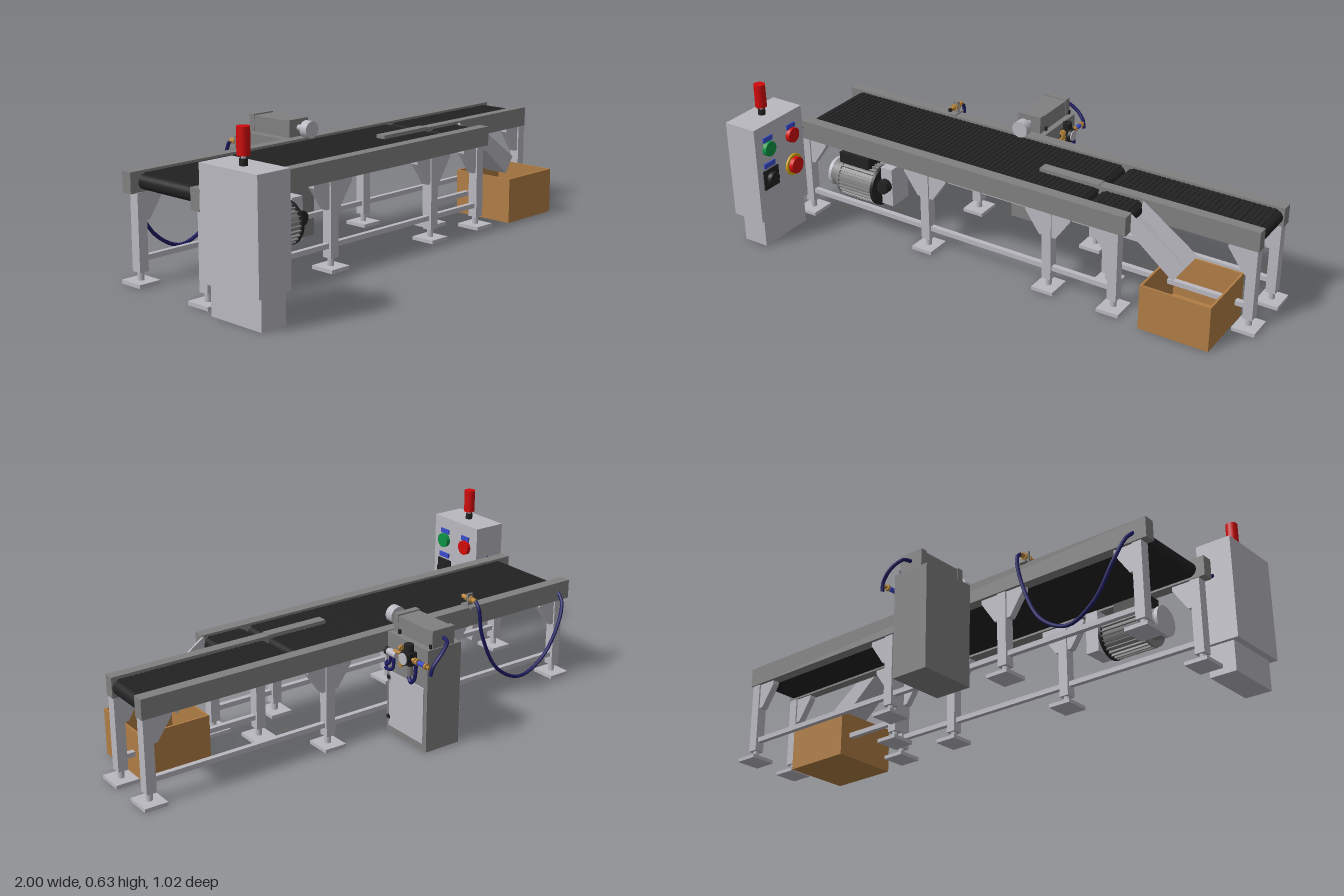
import * as THREE from 'three';

export function createModel() {
  const root = new THREE.Group();
  root.name = 'sortingConveyor';
  const paint = (name, color) => {
    const m = new THREE.MeshStandardMaterial({ color });
    m.name = name;
    return m;
  };
  const light = paint('lightGrey', 0xb9b8c0), grey = paint('steelGrey', 0x808080);
  const black = paint('black', 0x222222), card = paint('cardboard', 0xb07d45);
  const red = paint('red', 0xd20a0a), green = paint('green', 0x0c9444);
  const blue = paint('blue', 0x3a4cc8), navy = paint('navyHose', 0x1d1b62);
  const yellow = paint('yellow', 0xd8a80c), brass = paint('brass', 0xb8863a);

  const add = (name, geo, mat, parent = root) => {
    const m = new THREE.Mesh(geo, mat);
    m.name = name;
    parent.add(m);
    return m;
  };
  // Box given by its extents on each axis
  const box = (name, mat, x0, x1, y0, y1, z0, z1, parent) => {
    const m = add(name, new THREE.BoxGeometry(x1 - x0, y1 - y0, z1 - z0), mat, parent);
    m.position.set((x0 + x1) / 2, (y0 + y1) / 2, (z0 + z1) / 2);
    return m;
  };
  // Cylinder centred at a point, lying along the given axis
  const cyl = (name, mat, axis, r, len, x, y, z, parent, sides = 24) => {
    const g = new THREE.CylinderGeometry(r, r, len, sides);
    if (axis === 'x') g.rotateZ(-Math.PI / 2);
    if (axis === 'z') g.rotateX(Math.PI / 2);
    const m = add(name, g, mat, parent);
    m.position.set(x, y, z);
    return m;
  };
  // Flat outline in x and y, extruded between two depths
  const plate = (name, mat, pts, z0, z1, parent) => {
    const s = new THREE.Shape(pts.map(p => new THREE.Vector2(...p)));
    const m = add(name, new THREE.ExtrudeGeometry(s, { depth: z1 - z0, bevelEnabled: false }), mat, parent);
    m.position.z = z0;
    return m;
  };
  const hose = (name, pts, r = 0.007) => {
    const c = new THREE.CatmullRomCurve3(pts.map(p => new THREE.Vector3(...p)));
    return add(name, new THREE.TubeGeometry(c, 40, r, 8), navy);
  };
  const group = name => {
    const g = new THREE.Group();
    g.name = name;
    root.add(g);
    return g;
  };

  // Side rails and lane divider
  box('backRail', grey, -0.95, 0.98, 0.327, 0.403, -0.226, -0.182);
  box('frontRail', grey, -0.95, 0.537, 0.327, 0.403, 0.13, 0.175);
  box('middleRail', grey, 0.345, 0.978, 0.327, 0.405, -0.017, 0.023);
  box('laneDivider', grey, 0.094, 0.345, 0.392, 0.408, -0.017, 0.023);

  // Belts with rounded ends and fine slats
  const belt = (name, x0, x1, z0, z1) => {
    const g = group(name), r = 0.028, y = 0.363, s = new THREE.Shape();
    s.absarc(x1 - r, y, r, -Math.PI / 2, Math.PI / 2);
    s.absarc(x0 + r, y, r, Math.PI / 2, Math.PI * 1.5);
    const m = add('beltLoop', new THREE.ExtrudeGeometry(s, { depth: z1 - z0, bevelEnabled: false }), black, g);
    m.position.z = z0;
    for (let x = x0 + r; x < x1 - r; x += 0.02)
      box('slat', black, x, x + 0.015, 0.39, 0.394, z0, z1, g);
  };
  belt('mainBelt', -0.917, 0.343, -0.183, 0.131);
  belt('frontLaneBelt', 0.349, 0.53, 0.022, 0.131);
  belt('backLaneBelt', 0.349, 0.975, -0.183, -0.016);

  // Legs with adjustable feet and gussets; sides lists the braced directions
  const leg = (x, z, sides) => {
    const g = group('leg');
    box('post', light, x - 0.019, x + 0.019, 0.045, 0.328, z - 0.02, z + 0.02, g);
    cyl('footScrew', light, 'y', 0.012, 0.035, x, 0.03, z, g, 12);
    box('footPlate', light, x - 0.045, x + 0.045, 0, 0.014, z - 0.05, z + 0.05, g);
    for (const d of sides) {
      const a = [x + d * 0.018, 0.327], b = [x + d * 0.018, 0.225], c = [x + d * 0.035, 0.225], e = [x + d * 0.095, 0.312], f = [x + d * 0.095, 0.327];
      plate('gusset', light, [a, b, c, e, f], z - 0.014, z + 0.014, g);
    }
  };
  const rows = [
    [-0.2, [[-0.905, [1]], [-0.33, [-1, 1]], [0.215, [-1, 1]], [0.955, [-1]]]],
    [0.153, [[-0.905, [1]], [-0.33, [-1, 1]], [0.215, [-1, 1]], [0.49, [-1]]]],
    [0.003, [[0.385, [1]], [0.955, [-1]]]],
  ];
  for (const [z, legs] of rows) {
    for (const [x, sides] of legs) leg(x, z, sides);
    box('lowerTieBar', light, legs[0][0], legs[legs.length - 1][0], 0.081, 0.1, z - 0.01, z + 0.01);
  }

  // Chute: two cheeks and a sloping floor
  const chute = group('chute');
  const cheek = [[0.522, 0.335], [0.71, 0.18], [0.752, 0.244], [0.53, 0.4]];
  plate('chuteSide', light, cheek, 0.027, 0.035, chute);
  plate('chuteSide', light, cheek, 0.126, 0.134, chute);
  plate('chuteFloor', light, [[0.522, 0.335], [0.71, 0.18], [0.716, 0.189], [0.524, 0.346]], 0.035, 0.126, chute);

  // Open carton
  const carton = group('carton');
  box('cartonBottom', card, 0.624, 0.9, 0, 0.008, -0.052, 0.218, carton);
  for (const [a, b] of [[0.624, 0.632], [0.892, 0.9]]) box('cartonSide', card, a, b, 0, 0.18, -0.052, 0.218, carton);
  for (const [a, b] of [[-0.052, -0.044], [0.21, 0.218]]) box('cartonEnd', card, 0.632, 0.892, 0, 0.18, a, b, carton);

  // Drive motor with cooling fins, fan cover and gearbox
  const motor = group('driveMotor'), my = 0.213, mz = 0.15;
  cyl('motorBody', grey, 'x', 0.071, 0.165, -0.627, my, mz, motor, 32);
  for (let i = 0; i < 28; i++) {
    const a = i / 28 * Math.PI * 2;
    const f = add('fin', new THREE.BoxGeometry(0.16, 0.014, 0.005), grey, motor);
    f.position.set(-0.627, my + Math.cos(a) * 0.073, mz + Math.sin(a) * 0.073);
    f.rotation.x = a;
  }
  cyl('motorFlange', black, 'x', 0.081, 0.012, -0.542, my, mz, motor, 32);
  cyl('motorEndRing', grey, 'x', 0.079, 0.01, -0.71, my, mz, motor, 32);
  cyl('fanCover', grey, 'x', 0.056, 0.045, -0.735, my, mz, motor, 32);
  cyl('fanCap', light, 'x', 0.058, 0.014, -0.764, my, mz, motor, 32);
  box('terminalBox', black, -0.72, -0.58, 0.28, 0.325, 0.11, 0.19, motor);
  box('gearbox', light, -0.536, -0.484, 0.142, 0.3, 0.07, 0.17, motor);
  cyl('outputShaft', black, 'z', 0.027, 0.03, -0.513, 0.228, 0.185, motor);

  // Control cabinet
  const cab = group('controlCabinet');
  box('cabinetBody', light, -1, -0.862, 0.115, 0.508, 0.235, 0.505, cab);
  box('cabinetPlinth', light, -0.975, -0.87, 0, 0.115, 0.25, 0.487, cab);
  cyl('beaconBase', black, 'y', 0.014, 0.024, -0.936, 0.519, 0.374, cab);
  cyl('beaconNeck', light, 'y', 0.008, 0.014, -0.936, 0.536, 0.374, cab);
  cyl('beacon', red, 'y', 0.022, 0.092, -0.936, 0.587, 0.374, cab);
  cyl('startButton', green, 'x', 0.03, 0.018, -0.854, 0.41, 0.438, cab);
  cyl('stopButton', red, 'x', 0.03, 0.018, -0.854, 0.412, 0.304, cab);
  cyl('emergencyRing', yellow, 'x', 0.044, 0.008, -0.859, 0.283, 0.304, cab, 32);
  cyl('emergencyButton', red, 'x', 0.033, 0.024, -0.85, 0.283, 0.304, cab, 32);
  box('switchPlate', black, -0.863, -0.856, 0.243, 0.323, 0.395, 0.476, cab);
  cyl('switchKnob', black, 'x', 0.026, 0.022, -0.85, 0.283, 0.436, cab);
  for (const [y, z, w] of [[0.449, 0.438, 0.05], [0.449, 0.306, 0.046], [0.342, 0.439, 0.06]])
    box('buttonLabel', blue, -0.863, -0.856, y - 0.01, y + 0.01, z - w / 2, z + w / 2, cab);
  hose('cabinetCable', [[-0.92, 0.375, 0.236], [-0.92, 0.358, 0.21], [-0.92, 0.368, 0.185], [-0.92, 0.375, 0.17]]);

  // Pusher station with door, housing and ram
  const push = group('pusherStation');
  box('pusherCabinet', grey, -0.19, -0.038, 0, 0.4, -0.457, -0.226, push);
  box('pusherDoor', light, -0.04, -0.033, 0.03, 0.25, -0.441, -0.243, push);
  for (const y of [0.065, 0.225]) box('doorHinge', black, -0.038, -0.03, y - 0.007, y + 0.007, -0.25, -0.234, push);
  box('cylinderHousing', grey, -0.158, -0.062, 0.4, 0.464, -0.43, -0.25, push);
  for (const z of [-0.44, -0.244]) {
    box('housingEnd', grey, -0.16, -0.06, 0.398, 0.469, z - 0.013, z + 0.013, push);
    box('housingClamp', black, -0.062, -0.054, 0.4, 0.416, z * 0.9 - 0.055, z * 0.9 - 0.045, push);
  }
  cyl('ramRod', light, 'z', 0.012, 0.06, -0.11, 0.435, -0.21, push);
  cyl('ramHead', light, 'z', 0.033, 0.035, -0.11, 0.435, -0.177, push, 32);

  // Air valve, regulator and fittings on the station's side
  const air = group('airUnit');
  cyl('valveBody', light, 'z', 0.014, 0.055, -0.017, 0.338, -0.28, air);
  cyl('valveCap', black, 'z', 0.015, 0.012, -0.017, 0.338, -0.252, air);
  box('regulatorBody', black, -0.038, -0.005, 0.325, 0.375, -0.395, -0.347, air);
  cyl('regulatorKnob', black, 'y', 0.018, 0.03, -0.02, 0.388, -0.371, air);
  cyl('gaugeRim', black, 'x', 0.026, 0.014, -0.001, 0.352, -0.371, air);
  cyl('gaugeFace', light, 'x', 0.022, 0.004, 0.008, 0.352, -0.371, air);
  cyl('filterBowl', grey, 'y', 0.017, 0.045, -0.02, 0.307, -0.371, air);
  cyl('airLine', brass, 'z', 0.006, 0.2, -0.017, 0.352, -0.39, air, 12);
  cyl('airManifold', brass, 'y', 0.007, 0.08, -0.017, 0.342, -0.331, air, 12);
  for (const [y, z] of [[0.375, -0.331], [0.342, -0.331], [0.352, -0.412], [0.352, -0.424], [0.352, -0.473]])
    cyl('hexFitting', brass, 'z', 0.013, 0.009, -0.017, y, z, air, 6);
  cyl('blueCoupling', blue, 'z', 0.009, 0.032, -0.017, 0.352, -0.448, air, 12);
  hose('returnHose', [[-0.11, 0.435, -0.45], [-0.1, 0.43, -0.485], [-0.06, 0.4, -0.503], [-0.025, 0.36, -0.502], [-0.017, 0.325, -0.498]]);
  hose('filterHose', [[-0.02, 0.285, -0.371], [-0.015, 0.262, -0.39], [-0.015, 0.28, -0.41], [-0.017, 0.35, -0.418]]);
  for (const [y, z] of [[0.28, -0.272], [0.262, -0.29]])
    hose('valveHose', [[-0.017, 0.33, z], [-0.017, y + 0.015, z + 0.008], [-0.022, y, -0.235], [-0.05, y, -0.218], [-0.1, y, -0.22]], 0.006);

  // Product sensor on the back rail with its hanging cable
  const sensor = group('productSensor');
  box('sensorBracket', grey, -0.455, -0.425, 0.4, 0.408, -0.24, -0.18, sensor);
  box('sensorPost', grey, -0.452, -0.428, 0.408, 0.454, -0.215, -0.207, sensor);
  cyl('sensorBarrel', brass, 'z', 0.009, 0.075, -0.44, 0.432, -0.21, sensor, 16);
  for (const z of [-0.222, -0.2]) cyl('sensorNut', brass, 'z', 0.014, 0.008, -0.44, 0.432, z, sensor, 6);
  cyl('sensorTip', black, 'z', 0.008, 0.01, -0.44, 0.432, -0.17, sensor, 16);
  hose('sensorCable', [[-0.44, 0.432, -0.245], [-0.44, 0.41, -0.265], [-0.46, 0.3, -0.265], [-0.54, 0.14, -0.27],
    [-0.66, 0.077, -0.275], [-0.77, 0.13, -0.28], [-0.85, 0.25, -0.278], [-0.888, 0.33, -0.255], [-0.897, 0.36, -0.222]]);
  return root;
}
